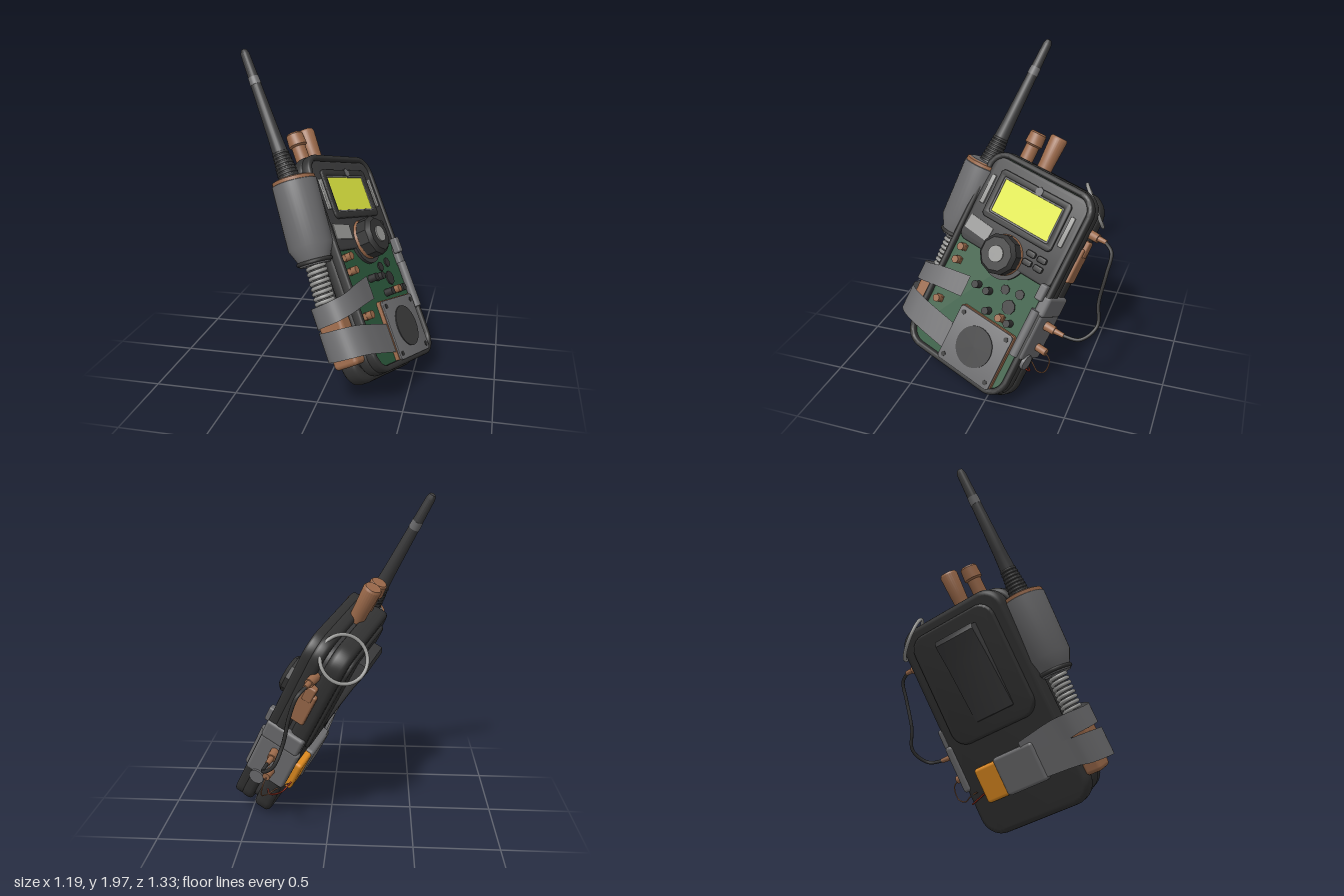
import * as THREE from 'three';
import { toCreasedNormals } from 'three/addons/utils/BufferGeometryUtils.js';
import { RoundedBoxGeometry } from 'three/addons/geometries/RoundedBoxGeometry.js';

const colours = {
  casing: 0x323232, panel: 0x3a3a3b, grey: 0x6c6c6e, steel: 0x969694, bronze: 0x996849,
  board: 0x2a573a, screen: 0xe2ea42, orange: 0xe08c20, red: 0x9c3020,
};
const M = {};
for (const [name, hex] of Object.entries(colours)) {
  M[name] = new THREE.MeshStandardMaterial({ color: hex });
  M[name].name = name;
}
M.grey.side = THREE.DoubleSide;

const v = (p) => new THREE.Vector3(...p);

function add(parent, name, geo, mat, x = 0, y = 0, z = 0) {
  const m = new THREE.Mesh(geo, mat);
  m.name = name;
  m.position.set(x, y, z);
  parent.add(m);
  return m;
}

function group(parent, name, x = 0, y = 0, z = 0) {
  const g = new THREE.Group();
  g.name = name;
  g.position.set(x, y, z);
  parent.add(g);
  return g;
}

function roundRect(w, h, r, T = THREE.Shape) {
  const s = new T(), x = w / 2, y = h / 2;
  s.absarc(x - r, y - r, r, 0, Math.PI / 2);
  s.absarc(-x + r, y - r, r, Math.PI / 2, Math.PI);
  s.absarc(-x + r, -y + r, r, Math.PI, Math.PI * 1.5);
  s.absarc(x - r, -y + r, r, Math.PI * 1.5, Math.PI * 2);
  s.closePath();
  return s;
}

// Rounded slab between z0 and z1, with an optional opening [w, h, r]
function slab(w, h, r, z0, z1, bevel = 0.01, hole = null) {
  const s = roundRect(w, h, r);
  if (hole) s.holes.push(roundRect(...hole, THREE.Path));
  const g = new THREE.ExtrudeGeometry(s, {
    depth: z1 - z0 - 2 * bevel, bevelEnabled: bevel > 0, bevelSize: bevel, bevelThickness: bevel,
    bevelOffset: -bevel, bevelSegments: 3, curveSegments: 8,
  });
  g.translate(0, 0, z0 + bevel);
  return toCreasedNormals(g, 0.6);
}

// Turned part: profile of [radius, y]
const turned = (pts, n = 32) =>
  toCreasedNormals(new THREE.LatheGeometry(pts.map((p) => new THREE.Vector2(...p)), n), 0.6);
const tube = (pts, r, n = 60) => new THREE.TubeGeometry(new THREE.CatmullRomCurve3(pts), n, r, 8);

// Strip of tape: path of [x, y, z, width], width running along y
function tape(path) {
  const n = 40, g = new THREE.PlaneGeometry(1, 1, n, 1), p = g.attributes.position;
  const curve = new THREE.CatmullRomCurve3(path.map(([x, y, z]) => new THREE.Vector3(x, y, z)));
  const widths = new THREE.CatmullRomCurve3(path.map((q, i) => new THREE.Vector3(i, q[3], 0)));
  for (let i = 0; i < p.count; i++) {
    const t = p.getX(i) + 0.5, c = curve.getPoint(t);
    p.setXYZ(i, c.x, c.y + p.getY(i) * widths.getPoint(t).y, c.z);
  }
  g.computeVertexNormals();
  return g;
}

// Cylinder between two points
function rod(parent, name, a, b, r0, r1, mat) {
  const A = v(a), B = v(b), d = B.clone().sub(A);
  const m = add(parent, name, new THREE.CylinderGeometry(r1, r0, d.length(), 20), mat);
  m.position.copy(A).add(B).multiplyScalar(0.5);
  m.quaternion.setFromUnitVectors(new THREE.Vector3(0, 1, 0), d.normalize());
  return m;
}

function buildCase(g) {
  const cx = 0.005, cy = -0.412;
  add(g, 'rearShell', slab(0.75, 1.36, 0.13, -0.22, -0.11, 0.03), M.casing, cx, cy - 0.013);
  add(g, 'seam', slab(0.71, 1.28, 0.12, -0.13, -0.07, 0), M.panel, cx, cy);
  add(g, 'frontShell', slab(0.775, 1.34, 0.13, -0.09, -0.01, 0.025), M.casing, cx, cy);
  add(g, 'bezel', slab(0.77, 1.33, 0.125, -0.03, 0.033, 0.015, [0.7, 1.26, 0.095]), M.casing, cx, cy);
  add(g, 'circuitBoard', slab(0.7, 1.26, 0.095, -0.02, 0, 0), M.board, cx, cy);
  add(g, 'rearPlate', slab(0.6, 0.72, 0.1, -0.24, -0.2, 0.015), M.casing, cx, -0.17);
  // Belt clip, a wedge that runs out towards the bottom
  const side = new THREE.Shape([[0.21, 0.1], [0.295, 0.1], [0.31, 0.07], [0.285, -0.08], [0.245, -0.43], [0.21, -0.45]]
    .map((p) => new THREE.Vector2(...p)));
  const clip = new THREE.ExtrudeGeometry(side, { depth: 0.26, bevelSize: 0.008, bevelThickness: 0.008, bevelOffset: -0.008, bevelSegments: 2 });
  clip.rotateY(Math.PI / 2);
  add(g, 'beltClip', toCreasedNormals(clip, 0.5), M.panel, -0.16, 0, 0);
}

function buildFace(g) {
  add(g, 'controlPanel', slab(0.7, 0.56, 0.05, -0.01, 0.02, 0.008), M.panel, 0.005, -0.065);
  const lobe = add(g, 'panelLobe', new THREE.CylinderGeometry(0.15, 0.15, 0.03, 40), M.panel, 0, -0.3, 0.004);
  lobe.rotation.x = Math.PI / 2;
  add(g, 'screenFrame', slab(0.52, 0.31, 0.03, 0.01, 0.036, 0.008, [0.44, 0.23, 0.01]), M.casing);
  add(g, 'screenTrim', slab(0.46, 0.25, 0.012, 0.015, 0.031, 0.004, [0.42, 0.21, 0.004]), M.grey);
  add(g, 'screen', new THREE.BoxGeometry(0.43, 0.22, 0.008), M.screen, 0, 0, 0.022);
  const sensor = add(g, 'sensor', new THREE.CylinderGeometry(0.028, 0.028, 0.008, 6), M.grey, 0.03, 0.135, 0.034);
  sensor.rotation.x = Math.PI / 2;
  for (const s of [-1, 1]) {
    add(g, 'sideBar', slab(0.03, 0.19, 0.008, 0.01, 0.033, 0.004), M.steel, s * 0.295, 0.0);
    for (const t of [-1, 1])
      add(g, 'button', slab(0.062, 0.036, 0.012, 0.015, 0.042, 0.006), M.casing, 0.2 + s * 0.04, -0.24 + t * 0.028);
  }
  add(g, 'labelTape', new THREE.BoxGeometry(0.18, 0.09, 0.006), M.steel, -0.235, -0.235, 0.022).rotation.z = -0.08;

  // Faceted control knob
  const knob = group(g, 'controlKnob', 0, -0.3, 0.014);
  knob.rotation.x = Math.PI / 2;
  add(knob, 'knobBase', new THREE.CylinderGeometry(0.12, 0.125, 0.02, 32), M.bronze, 0, 0.013, 0);
  add(knob, 'knobBody', turned([[0.124, 0.022], [0.124, 0.088], [0.102, 0.112], [0, 0.112]], 10), M.casing);
  add(knob, 'knobCap', new THREE.CylinderGeometry(0.05, 0.05, 0.01, 24), M.steel, 0, 0.115, 0);

  // Speaker
  add(g, 'speakerPlate', slab(0.4, 0.36, 0.02, 0.025, 0.038, 0.003), M.grey, 0.1, -0.87);
  add(g, 'speakerGasket', slab(0.41, 0.37, 0.02, 0, 0.025, 0), M.bronze, 0.1, -0.87);
  add(g, 'speakerCone', new THREE.CylinderGeometry(0.125, 0.125, 0.01, 40), M.panel, 0.1, -0.87, 0.039).rotation.x = Math.PI / 2;
  for (const sx of [-1, 1]) for (const sy of [-1, 1])
    add(g, 'plateScrew', new THREE.CylinderGeometry(0.015, 0.015, 0.008, 12), M.casing,
      0.1 + sx * 0.165, -0.87 + sy * 0.145, 0.038).rotation.x = Math.PI / 2;

  // Board components
  const parts = [[-0.28, -0.39, 1], [-0.275, -0.475, 1], [-0.275, -0.745, 1], [0.16, -0.64, 1],
    [-0.075, -0.54, 0], [0.01, -0.54, 0], [0.062, -0.645, 0], [0.225, -0.64, 0]];
  for (const [x, y, b] of parts) {
    const m = b ? M.bronze : M.casing;
    if (b) add(g, 'componentFoot', new THREE.BoxGeometry(0.045, 0.038, 0.02), m, x, y, 0.01);
    add(g, 'componentPost', new THREE.CylinderGeometry(0.023, 0.023, 0.052, 16), m, x, y, 0.026).rotation.x = Math.PI / 2;
  }
  for (const [x, y, r] of [[0.17, -0.56, 0.045], [0.1, -0.48, 0.03], [0.2, -0.46, 0.03]])
    add(g, 'chip', new THREE.CylinderGeometry(r, r, 0.008, 8), M.casing, x, y, 0.004).rotation.x = Math.PI / 2;
}

function buildAntenna(g) {
  const s = group(g, 'antennaAssembly', -0.435, 0, -0.082);
  // Barrel and spring, tipped a little towards the face
  const barrel = group(s, 'barrelGroup', 0, -0.12, 0);
  barrel.rotation.x = 0.09;
  add(barrel, 'barrel', turned([[0, -0.26], [0.09, -0.26], [0.1, -0.22], [0.132, -0.15], [0.132, 0.225], [0.118, 0.232]]), M.grey);
  add(barrel, 'barrelBand', turned([[0.126, 0.215], [0.126, 0.248], [0.108, 0.254]]), M.bronze);
  add(barrel, 'barrelTop', turned([[0.112, 0.248], [0.104, 0.258], [0, 0.258]]), M.grey);
  add(barrel, 'barrelRing', new THREE.TorusGeometry(0.095, 0.012, 8, 32), M.casing, 0, -0.24, 0).rotation.x = Math.PI / 2;
  const coil = [];
  for (let i = 0; i <= 96; i++) {
    const a = (i / 12) * Math.PI * 2;
    coil.push(new THREE.Vector3(0.05 * Math.cos(a), -0.26 - i * 0.0024, 0.05 * Math.sin(a)));
  }
  add(barrel, 'spring', tube(coil, 0.012, 240), M.steel);
  add(barrel, 'springCore', new THREE.CylinderGeometry(0.036, 0.036, 0.3, 16), M.grey, 0, -0.37, 0);
  // Whip with ribbed root
  const whip = group(s, 'whip');
  whip.rotation.x = -0.015;
  add(whip, 'whipRod', turned([[0.064, 0.12], [0.046, 0.3], [0.04, 0.42], [0.027, 0.945], [0.018, 0.97], [0, 0.978]], 20), M.panel);
  for (let i = 0; i < 8; i++)
    add(whip, 'whipRib', new THREE.TorusGeometry(0.056 - i * 0.002, 0.009, 8, 24), M.casing, 0, 0.15 + i * 0.021, 0).rotation.x = Math.PI / 2;
  add(whip, 'whipBand', new THREE.CylinderGeometry(0.0325, 0.034, 0.05, 20), M.grey, 0, 0.765, 0);
  // Socket and foot block held by tape
  add(s, 'socket', new RoundedBoxGeometry(0.11, 0.28, 0.16, 3, 0.025), M.bronze, 0, -0.77, -0.03);
  add(s, 'footBlock', new RoundedBoxGeometry(0.11, 0.16, 0.16, 3, 0.025), M.bronze, 0.02, -0.9, -0.03);
  add(g, 'upperTape', tape([[-0.14, -0.59, 0.02, 0.14], [-0.33, -0.62, 0.04, 0.13], [-0.45, -0.65, 0.02, 0.12],
    [-0.515, -0.665, -0.045, 0.12], [-0.515, -0.67, -0.16, 0.12], [-0.44, -0.67, -0.225, 0.13],
    [-0.33, -0.68, -0.235, 0.15], [-0.1, -0.73, -0.27, 0.18]]), M.grey);
  add(g, 'lowerTape', tape([[-0.1, -0.91, 0.02, 0.17], [-0.32, -0.88, 0.042, 0.17], [-0.45, -0.86, 0.03, 0.17],
    [-0.52, -0.85, -0.04, 0.17], [-0.52, -0.84, -0.16, 0.17], [-0.44, -0.83, -0.225, 0.17],
    [-0.36, -0.82, -0.235, 0.16], [-0.1, -0.8, -0.27, 0.17]]), M.grey);
}

function buildTopAndSides(g) {
  add(g, 'tallTopKnob', turned([[0.046, 0.2], [0.048, 0.3], [0.055, 0.455], [0.047, 0.468], [0, 0.468]], 24), M.bronze, -0.07, 0, -0.09);
  add(g, 'shortTopKnob', turned([[0.043, 0.2], [0.043, 0.35], [0.056, 0.36], [0.052, 0.43], [0.044, 0.44], [0, 0.44]], 24), M.bronze, -0.21, 0, -0.09);
  // Right side clamp and fittings
  add(g, 'clampUpper', new RoundedBoxGeometry(0.07, 0.13, 0.25, 2, 0.02), M.grey, 0.368, -0.44, -0.09);
  add(g, 'clampLower', new RoundedBoxGeometry(0.055, 0.3, 0.26, 2, 0.02), M.grey, 0.37, -0.64, -0.1);
  add(g, 'clampLatch', new RoundedBoxGeometry(0.05, 0.1, 0.05, 2, 0.012), M.grey, 0.335, -0.37, 0.04);
  add(g, 'clampBar', new THREE.CylinderGeometry(0.028, 0.028, 0.3, 16), M.grey, 0.345, -0.63, 0.028);
  rod(g, 'clampDisc', [0.37, -0.8, -0.06], [0.41, -0.8, -0.06], 0.048, 0.048, M.grey);
  add(g, 'sidePlate', new RoundedBoxGeometry(0.06, 0.22, 0.1, 2, 0.012), M.bronze, 0.378, -0.16, -0.11);
  add(g, 'sidePlateStep', new RoundedBoxGeometry(0.05, 0.1, 0.06, 2, 0.01), M.bronze, 0.388, -0.05, -0.11);
  rod(g, 'sideStud', [0.37, -0.7, -0.12], [0.465, -0.7, -0.12], 0.024, 0.024, M.bronze);
  add(g, 'wireLoop', tube([[0.45, -0.7, -0.12], [0.5, -0.73, -0.13], [0.5, -0.81, -0.15], [0.45, -0.84, -0.17],
    [0.38, -0.82, -0.2], [0.3, -0.81, -0.24]].map(v), 0.004), M.bronze);
  add(g, 'redWire', tube([[0.36, -0.86, -0.14], [0.4, -0.87, -0.18], [0.35, -0.86, -0.23], [0.24, -0.83, -0.25]].map(v), 0.005), M.red);
  // Battery pack on the back
  add(g, 'battery', new RoundedBoxGeometry(0.36, 0.22, 0.08, 2, 0.02), M.orange, 0.075, -0.79, -0.225);
  add(g, 'batteryWrap', new RoundedBoxGeometry(0.28, 0.24, 0.09, 2, 0.02), M.grey, -0.035, -0.785, -0.23);
}

function buildCable(root) {
  const cable = group(root, 'cableAndRing');
  add(cable, 'cable', tube([[0.1, 1.01, -0.6], [0.145, 0.97, -0.65], [0.19, 0.85, -0.637], [0.23, 0.68, -0.61],
    [0.285, 0.55, -0.62], [0.355, 0.485, -0.54], [0.345, 0.485, -0.42]].map(v), 0.011), M.casing);
  rod(cable, 'upperPlug', [0.05, 1.035, -0.46], [0.09, 1.015, -0.56], 0.03, 0.026, M.bronze);
  rod(cable, 'upperPlugTip', [0.085, 1.018, -0.55], [0.105, 1.008, -0.61], 0.018, 0.014, M.bronze);
  rod(cable, 'lowerPlug', [0.305, 0.52, -0.28], [0.33, 0.495, -0.38], 0.03, 0.026, M.bronze);
  rod(cable, 'lowerPlugTip', [0.33, 0.495, -0.38], [0.346, 0.484, -0.44], 0.018, 0.014, M.bronze);
  const ring = add(cable, 'carryRing', new THREE.TorusGeometry(0.135, 0.011, 10, 48), M.steel, -0.095, 1.135, -0.49);
  ring.quaternion.setFromUnitVectors(new THREE.Vector3(0, 0, 1), v([-0.33, 0.36, -0.87]).normalize());
}

export function createModel() {
  const root = new THREE.Group();
  root.name = 'handheldRadio';
  // Upright device, leaned into its resting pose
  const device = group(root, 'device', 0.042, 1.108, -0.116);
  buildCase(device);
  buildFace(device);
  buildAntenna(device);
  buildTopAndSides(device);
  const up = v([-0.4058, 0.8543, -0.3246]).normalize();
  const out = v([0.315, -0.204, -0.927]).cross(up).normalize();
  const side = up.clone().cross(out);
  device.quaternion.setFromRotationMatrix(new THREE.Matrix4().makeBasis(side, up, out));
  buildCable(root);
  return root;
}
